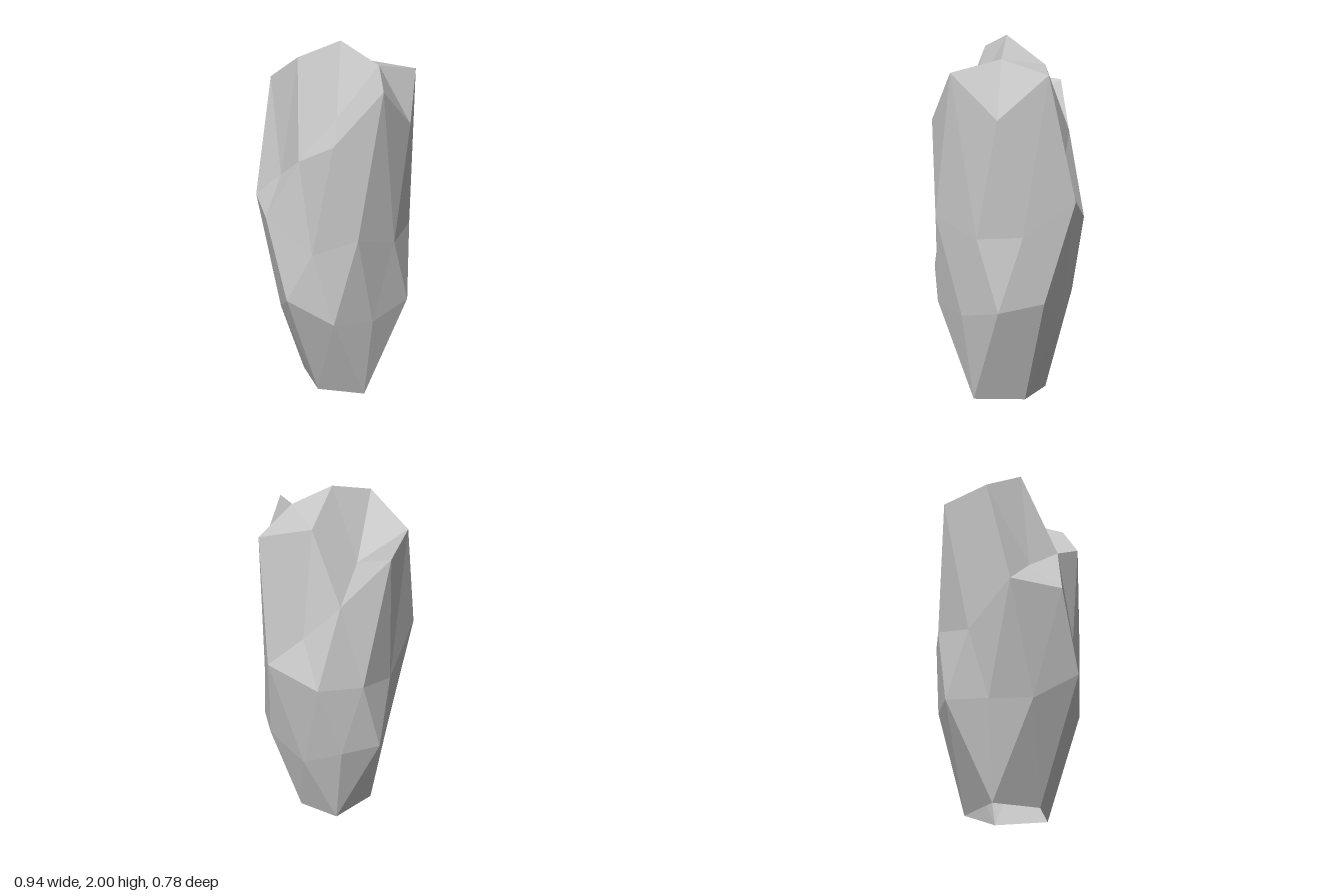
import * as THREE from 'three';

// Cross-section rings [x, y, z], each running counter-clockwise seen from above.
const BASE = [[-0.09, 0, 0.25], [0.17, 0, 0.13], [0.185, 0, -0.11], [-0.075, 0, -0.21], [-0.213, 0, 0.01]];
const LOWER = [
  [-0.12, 0.5, 0.325], [0.13, 0.56, 0.38], [0.33, 0.6, 0.23], [0.335, 0.46, 0.02], [0.305, 0.57, -0.2],
  [0.13, 0.56, -0.35], [-0.11, 0.53, -0.29], [-0.31, 0.52, -0.175], [-0.47, 0.67, 0.01], [-0.33, 0.53, 0.22],
];
const MIDDLE = [
  [0, 0.95, 0.375], [0.24, 0.97, 0.305], [0.47, 1.15, 0.15], [0.41, 1.02, -0.11], [0.24, 1.0, -0.295],
  [-0.01, 0.93, -0.34], [-0.295, 1.145, -0.35], [-0.47, 1.12, -0.125], [-0.375, 0.93, 0.11], [-0.27, 1.04, 0.335],
];
const UPPER = [
  [-0.14, 1.82, 0.39], [0.125, 1.585, 0.375], [0.353, 1.815, 0.245], [0.335, 1.27, 0.01], [0.285, 1.48, -0.18],
  [0.14, 1.735, -0.39], [-0.14, 1.775, -0.36], [-0.29, 1.3, -0.17], [-0.355, 1.43, 0.01], [-0.345, 1.55, 0.23],
];
const CROWN = [[0.065, 1.885, 0.21], [0.225, 1.85, 0.01], [0.06, 1.63, -0.165], [-0.2, 1.93, -0.118], [-0.17, 1.635, 0.115]];
const PEAK = [-0.003, 2, 0.01];

function rockGeometry() {
  const positions = [];
  const tri = (a, b, c) => positions.push(...a, ...b, ...c);
  const at = (ring, i) => ring[(i + ring.length) % ring.length];

  // Staggered bands of triangles around the sides
  for (let i = 0; i < 10; i++) {
    const m = at(MIDDLE, i), mNext = at(MIDDLE, i + 1);
    tri(at(LOWER, i), at(LOWER, i + 1), m);
    tri(m, at(LOWER, i + 1), mNext);
    tri(m, at(UPPER, i + 1), at(UPPER, i));
    tri(m, mNext, at(UPPER, i + 1));
  }

  // Five-sided ends: tapering open foot below, craggy crown above
  for (let i = 0; i < 5; i++) {
    const b = at(BASE, i), bNext = at(BASE, i + 1), k = 2 * i;
    tri(b, at(LOWER, k), at(LOWER, k - 1));
    tri(b, at(LOWER, k + 1), at(LOWER, k));
    tri(b, bNext, at(LOWER, k + 1));

    const t = at(CROWN, i), tNext = at(CROWN, i + 1);
    tri(at(UPPER, k), at(UPPER, k + 1), t);
    tri(at(UPPER, k + 1), at(UPPER, k + 2), t);
    tri(t, at(UPPER, k + 2), tNext);
    tri(t, tNext, PEAK);
  }

  // Unshared corners give flat facets
  const geometry = new THREE.BufferGeometry();
  geometry.setAttribute('position', new THREE.Float32BufferAttribute(positions, 3));
  geometry.computeVertexNormals();
  return geometry;
}

export function createModel() {
  // Double-sided because the foot is open underneath
  const stone = new THREE.MeshStandardMaterial({ color: 0xc7c7c7, flatShading: true, side: THREE.DoubleSide });
  stone.name = 'stone grey';

  const rock = new THREE.Mesh(rockGeometry(), stone);
  rock.name = 'rock';

  const group = new THREE.Group();
  group.name = 'standingRock';
  group.add(rock);
  return group;
}
